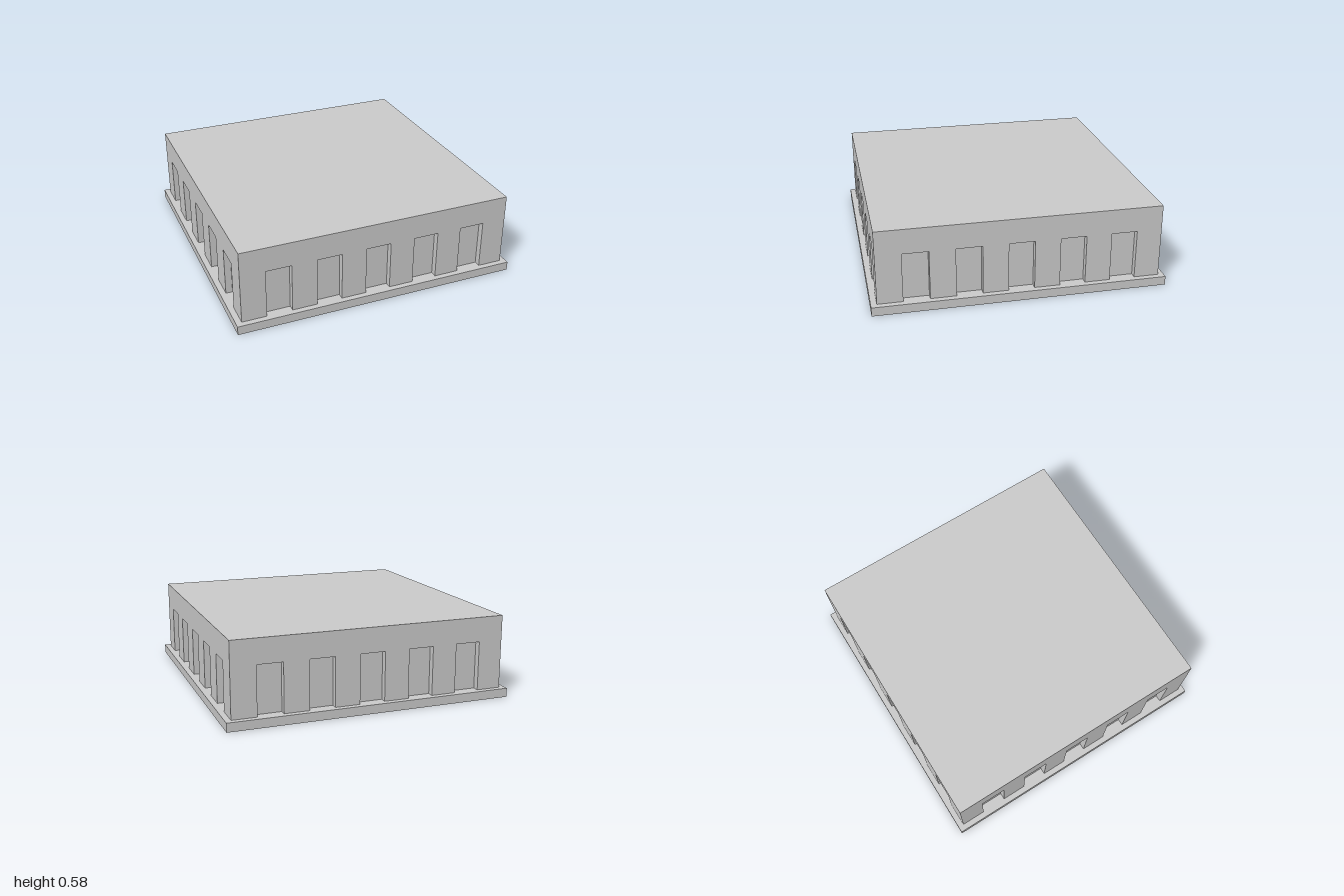
import * as THREE from 'three';

const HALF = 0.96;         // half width of the walls
const BASE_TOP = 0.062;
const DOOR_TOP = 0.404;
const ROOF_TOP = 0.576;
const DOOR_HALF = 0.088;
const DOOR_DEPTH = 0.046;
const DOOR_CENTRES = [-0.7, -0.35, 0, 0.35, 0.7];

// Square floor plan with five door notches cut into each side
function notchedPlan() {
  const points = [];
  for (let side = 0; side < 4; side++) {
    const turn = side * Math.PI / 2;
    const add = (along, out) =>
      points.push(new THREE.Vector2(along, -out).rotateAround(new THREE.Vector2(), turn));
    add(-HALF, HALF);
    for (const c of DOOR_CENTRES) {
      add(c - DOOR_HALF, HALF);
      add(c - DOOR_HALF, HALF - DOOR_DEPTH);
      add(c + DOOR_HALF, HALF - DOOR_DEPTH);
      add(c + DOOR_HALF, HALF);
    }
  }
  return new THREE.Shape(points);
}

export function createModel() {
  const group = new THREE.Group();
  group.name = 'pavilion';
  const material = new THREE.MeshStandardMaterial({ color: 0xcccccc, flatShading: true });

  const add = (name, geometry, y) => {
    const mesh = new THREE.Mesh(geometry, material);
    mesh.name = name;
    mesh.position.y = y;
    group.add(mesh);
  };

  // Base slab
  add('base', new THREE.BoxGeometry(2, BASE_TOP, 2), BASE_TOP / 2);

  // Walls with recessed doorways, standing on the base
  const walls = new THREE.ExtrudeGeometry(notchedPlan(), {
    depth: DOOR_TOP - BASE_TOP, bevelEnabled: false,
  });
  walls.rotateX(-Math.PI / 2);
  add('walls', walls, BASE_TOP);

  // Solid upper block closing the doorways from above
  const upper = ROOF_TOP - DOOR_TOP;
  add('upperBlock', new THREE.BoxGeometry(HALF * 2, upper, HALF * 2), DOOR_TOP + upper / 2);

  return group;
}
